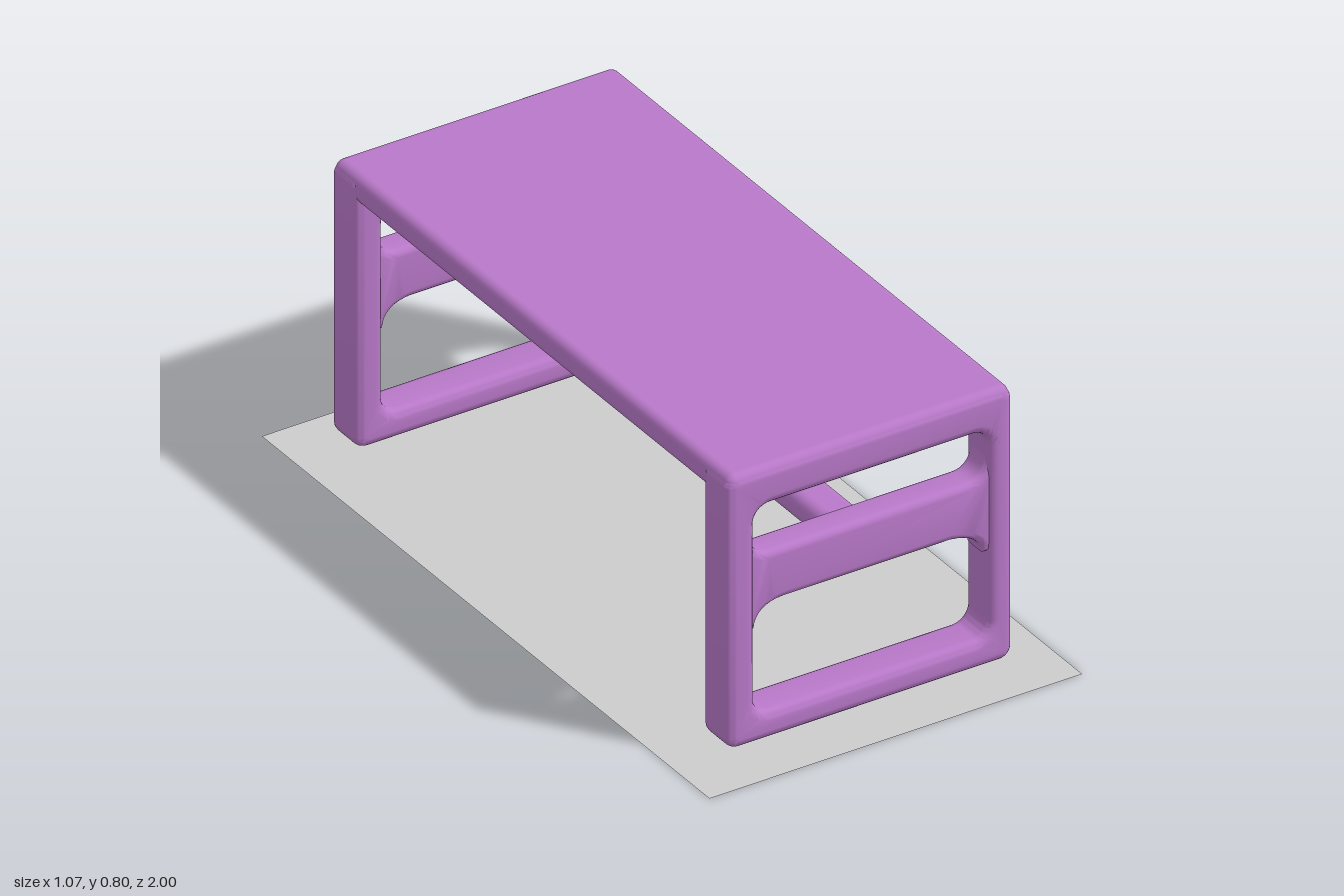
import * as THREE from 'three';
import { toCreasedNormals } from 'three/addons/utils/BufferGeometryUtils.js';
import { RoundedBoxGeometry } from 'three/addons/geometries/RoundedBoxGeometry.js';

const purple = new THREE.MeshStandardMaterial({ color: 0xb878c8 });
const grey = new THREE.MeshStandardMaterial({ color: 0xcccccc, side: THREE.DoubleSide });

// Rounded rectangle between two corners, as a Shape or a Path
function roundedRect(path, x0, y0, x1, y1, r) {
  path.moveTo(x0 + r, y0);
  path.lineTo(x1 - r, y0);
  path.absarc(x1 - r, y0 + r, r, -Math.PI / 2, 0);
  path.lineTo(x1, y1 - r);
  path.absarc(x1 - r, y1 - r, r, 0, Math.PI / 2);
  path.lineTo(x0 + r, y1);
  path.absarc(x0 + r, y1 - r, r, Math.PI / 2, Math.PI);
  path.lineTo(x0, y0 + r);
  path.absarc(x0 + r, y0 + r, r, Math.PI, Math.PI * 1.5);
  return path;
}

// Soft-edged plate of the given depth, centred on z = 0
function softPlate(shape, depth, bevel) {
  const geo = new THREE.ExtrudeGeometry(shape, {
    depth: depth - 2 * bevel, bevelEnabled: true, bevelThickness: bevel,
    bevelSize: bevel, bevelOffset: -bevel, bevelSegments: 5, curveSegments: 8,
  });
  geo.translate(0, 0, bevel - depth / 2);
  return toCreasedNormals(geo, 0.7);
}

function addMesh(parent, name, geo, material, x = 0, y = 0, z = 0) {
  const mesh = new THREE.Mesh(geo, material);
  mesh.name = name;
  mesh.position.set(x, y, z);
  parent.add(mesh);
  return mesh;
}

export function createModel() {
  const group = new THREE.Group();
  group.name = 'table';

  // Thin floor sheet
  const floor = addMesh(group, 'floorSheet', new THREE.PlaneGeometry(1.07, 2), grey);
  floor.rotation.x = -Math.PI / 2;

  // Slab top
  addMesh(group, 'tabletop', new RoundedBoxGeometry(0.81, 0.078, 1.776, 5, 0.025), purple, 0, 0.763, 0);

  // End frame: legs, top rail and foot rail in one loop
  const loop = roundedRect(new THREE.Shape(), -0.41, 0.03, 0.41, 0.798, 0.035);
  loop.holes.push(roundedRect(new THREE.Path(), -0.33, 0.108, 0.345, 0.692, 0.045));
  const loopGeo = softPlate(loop, 0.12, 0.025);

  // Slimmer crossbar with flared ends that fill the corners beside the legs
  const bar = roundedRect(new THREE.Shape(), -0.375, 0.34, 0.385, 0.62, 0.01);
  bar.holes.push(
    roundedRect(new THREE.Path(), -0.33, 0.55, 0.345, 0.61, 0.025),
    roundedRect(new THREE.Path(), -0.33, 0.35, 0.345, 0.405, 0.025),
  );
  const barShape = new THREE.Shape();
  barShape.moveTo(-0.375, 0.34);
  barShape.lineTo(-0.32, 0.34);
  barShape.quadraticCurveTo(-0.315, 0.402, -0.24, 0.405);
  barShape.lineTo(0.24, 0.405);
  barShape.quadraticCurveTo(0.33, 0.395, 0.335, 0.34);
  barShape.lineTo(0.385, 0.34);
  barShape.lineTo(0.385, 0.61);
  barShape.lineTo(0.345, 0.61);
  barShape.quadraticCurveTo(0.34, 0.55, 0.29, 0.55);
  barShape.lineTo(-0.28, 0.55);
  barShape.quadraticCurveTo(-0.33, 0.55, -0.33, 0.61);
  barShape.lineTo(-0.375, 0.61);
  barShape.closePath();
  const barGeo = softPlate(barShape, 0.09, 0.02);

  for (const side of [1, -1]) {
    const end = side > 0 ? 'front' : 'back';
    addMesh(group, end + 'LegFrame', loopGeo, purple, 0, 0, side * 0.83);
    addMesh(group, end + 'Crossbar', barGeo, purple, 0, 0, side * 0.83);
  }

  // Long stretcher joining the two crossbars
  addMesh(group, 'stretcher', new RoundedBoxGeometry(0.11, 0.078, 1.64, 5, 0.03), purple, 0, 0.473, 0);

  return group;
}
